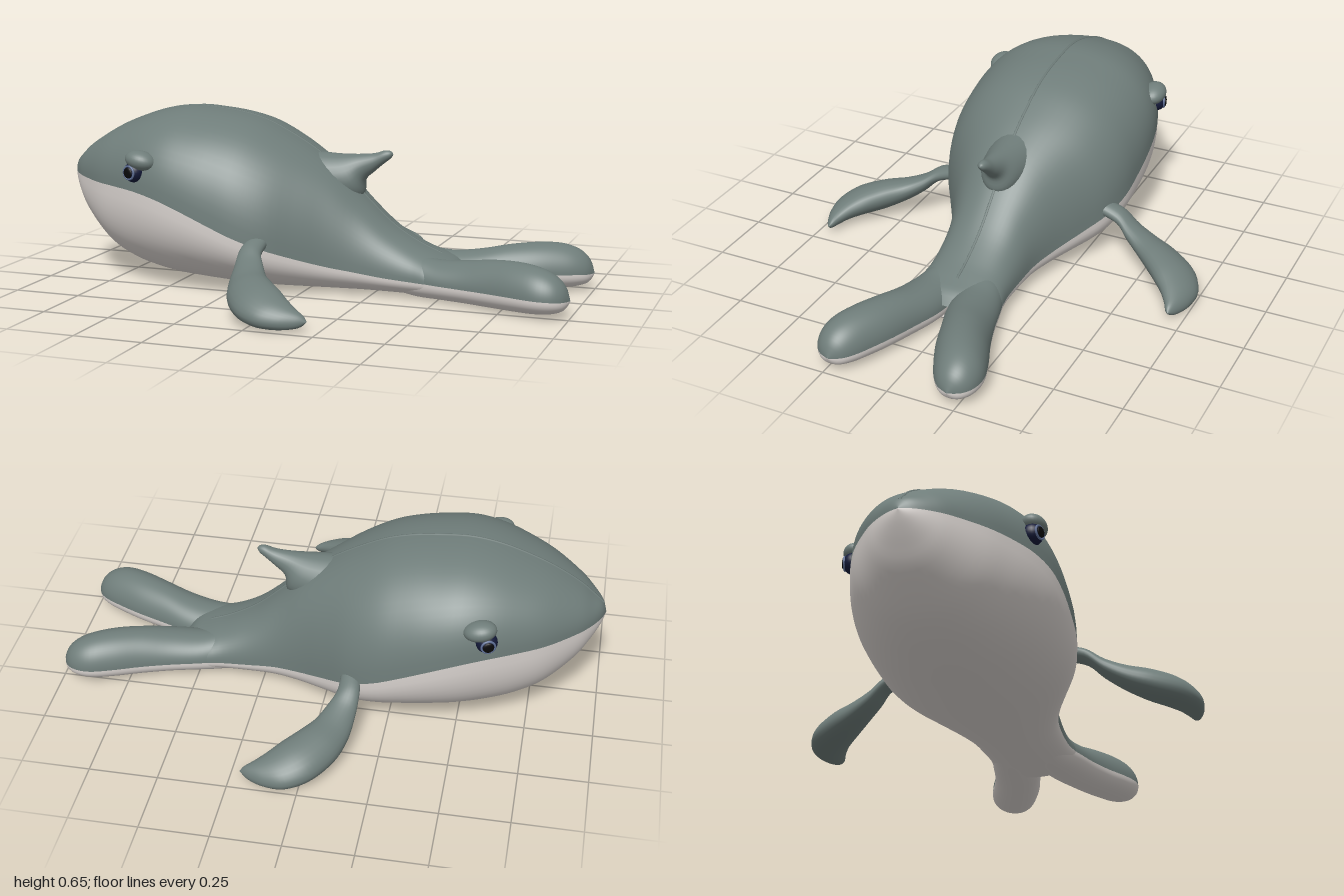
import * as THREE from 'three';

const paint = (name, color, side = THREE.FrontSide) => {
  const m = new THREE.MeshStandardMaterial({ color, side });
  m.name = name;
  return m;
};

// Catmull-Rom resampling of rows of numbers
function resample(rows, steps) {
  const out = [], n = rows.length - 1;
  for (let i = 0; i < n; i++) {
    for (let k = 0; k < steps; k++) {
      const t = k / steps;
      out.push(rows[i].map((b, j) => {
        const c = rows[i + 1][j];
        const a = i > 0 ? rows[i - 1][j] : b, d = i + 2 <= n ? rows[i + 2][j] : c;
        return b + 0.5 * t * (c - a + t * (2 * a - 5 * b + 4 * c - d + t * (3 * (b - c) + d - a)));
      }));
    }
  }
  out.push(rows[n]);
  return out;
}

// Skin a list of rings (arrays of Vector3), turned to face outward
function skin(rings, closed) {
  const n = rings[0].length, cols = closed ? n : n - 1;
  const pos = rings.flat(), index = [], middle = new THREE.Vector3();
  pos.forEach(p => middle.addScaledVector(p, 1 / pos.length));
  for (let i = 0; i < rings.length - 1; i++) {
    for (let j = 0; j < cols; j++) {
      const a = i * n + j, b = i * n + (j + 1) % n, c = a + n, d = b + n;
      index.push(a, b, c, b, d, c);
    }
  }
  let volume = 0;
  const p = new THREE.Vector3(), q = new THREE.Vector3(), r = new THREE.Vector3();
  for (let i = 0; i < index.length; i += 3) {
    p.subVectors(pos[index[i]], middle);
    q.subVectors(pos[index[i + 1]], middle);
    r.subVectors(pos[index[i + 2]], middle);
    volume += p.dot(q.cross(r));
  }
  if (volume < 0) index.reverse();
  const g = new THREE.BufferGeometry().setFromPoints(pos);
  g.setIndex(index);
  g.computeVertexNormals();
  return g;
}

const bulge = (v, n) => Math.sign(v) * Math.pow(Math.abs(v), 2 / n);

// Half shell above (up = 1) or below (up = -1) the side seam
// rows: x, z centre, half width, top y, seam y, bottom y
function halfShell(rows, up, power) {
  const rings = rows.map(([x, zc, w, top, seam, bottom]) => {
    const h = up > 0 ? top - seam : seam - bottom;
    return Array.from({ length: 33 }, (_, k) => {
      const a = Math.PI * k / 32;
      return new THREE.Vector3(x, seam + up * h * bulge(Math.max(0, Math.sin(a)), power),
        zc + w * bulge(Math.cos(a), power));
    });
  });
  return skin(rings, false);
}

// Rounded blade between two edges; rows: edge A xyz, edge B xyz, half thickness
function blade(rows, thickAxis, side) {
  const rings = resample(rows, 5).map(r => {
    const A = new THREE.Vector3(r[0], r[1], r[2] * side), B = new THREE.Vector3(r[3], r[4], r[5] * side);
    const c = A.clone().add(B).multiplyScalar(0.5), half = B.sub(A).multiplyScalar(0.5);
    return Array.from({ length: 24 }, (_, k) => {
      const a = 2 * Math.PI * k / 24;
      return c.clone().addScaledVector(half, Math.cos(a)).addScaledVector(thickAxis, Math.max(0, r[6]) * Math.sin(a));
    });
  });
  return skin(rings, true);
}

export function createModel() {
  const model = new THREE.Group();
  model.name = 'whale';
  const grey = paint('slateGrey', 0x6f7d7a, THREE.DoubleSide);
  const white = paint('bellyWhite', 0xdcd6d2, THREE.DoubleSide);
  const navy = paint('eyeNavy', 0x141a3a);
  const ringBlue = paint('eyeRingBlue', 0x5f7096);
  const black = paint('pupilBlack', 0x08080a);
  const add = (name, geometry, material, parent = model) => {
    const m = new THREE.Mesh(geometry, material);
    m.name = name;
    parent.add(m);
    return m;
  };

  // Body: grey back over white belly (x, z, half width, top, seam, bottom)
  const body = resample([
    [-1, 0, 0, 0.39, 0.388, 0.385],
    [-0.985, 0, 0.045, 0.43, 0.387, 0.345],
    [-0.95, 0, 0.1, 0.463, 0.386, 0.28],
    [-0.9, 0, 0.155, 0.505, 0.384, 0.205],
    [-0.8, 0, 0.237, 0.565, 0.38, 0.11],
    [-0.7, 0, 0.293, 0.608, 0.377, 0.06],
    [-0.6, 0, 0.337, 0.64, 0.37, 0.035],
    [-0.5, 0, 0.366, 0.655, 0.35, 0.02],
    [-0.4, 0, 0.377, 0.65, 0.315, 0.014],
    [-0.3, 0, 0.376, 0.638, 0.272, 0.01],
    [-0.2, 0, 0.367, 0.612, 0.228, 0.008],
    [-0.1, 0, 0.335, 0.565, 0.188, 0.007],
    [0, 0, 0.275, 0.507, 0.15, 0.006],
    [0.1, 0, 0.217, 0.435, 0.117, 0.005],
    [0.2, 0, 0.178, 0.335, 0.095, 0.005],
    [0.3, 0, 0.165, 0.245, 0.08, 0.005],
    [0.4, 0, 0.162, 0.185, 0.072, 0.005],
    [0.48, 0, 0.168, 0.152, 0.07, 0.006],
    [0.54, 0, 0.13, 0.128, 0.07, 0.012],
    [0.575, 0, 0.05, 0.09, 0.07, 0.04],
  ], 4);
  add('back', halfShell(body, 1, 2.25), grey);
  add('belly', halfShell(body, -1, 2.25), white);

  // Raised seam along the spine
  const spine = body.filter((r, i) => i % 4 === 0 && r[0] > -0.99 && r[0] < 0.5)
    .map(r => new THREE.Vector3(r[0], r[3] - 0.002, 0));
  add('spineSeam', new THREE.TubeGeometry(new THREE.CatmullRomCurve3(spine), 80, 0.006, 6), grey);

  // Dorsal fin, swept back
  add('dorsalFin', blade([
    [-0.02, 0.505, 0, 0.05, 0.3, 0, 0.1],
    [0.08, 0.5, 0, 0.17, 0.34, 0, 0.075],
    [0.16, 0.502, 0, 0.185, 0.405, 0, 0.045],
    [0.22, 0.508, 0, 0.22, 0.44, 0, 0.03],
    [0.26, 0.52, 0, 0.255, 0.47, 0, 0.022],
    [0.283, 0.517, 0, 0.28, 0.49, 0, 0.013],
    [0.291, 0.506, 0, 0.291, 0.505, 0, 0],
  ], new THREE.Vector3(0, 0, 1), 1), grey);

  // Paired parts: x, outer z, inner z, top, seam, bottom for each fluke
  const fluke = [
    [0.34, 0.14, 0.02, 0.15, 0.075, 0.02],
    [0.42, 0.158, 0, 0.155, 0.071, 0.006],
    [0.5, 0.18, 0, 0.146, 0.07, 0.005],
    [0.6, 0.206, 0.015, 0.155, 0.07, 0.005],
    [0.7, 0.24, 0.047, 0.172, 0.072, 0.006],
    [0.8, 0.282, 0.08, 0.18, 0.075, 0.009],
    [0.88, 0.306, 0.115, 0.175, 0.075, 0.013],
    [0.94, 0.3, 0.147, 0.155, 0.073, 0.02],
    [0.98, 0.272, 0.182, 0.12, 0.07, 0.035],
    [1, 0.228, 0.226, 0.07, 0.068, 0.066],
  ];
  const flipper = [
    [-0.15, 0.215, 0.3, -0.08, 0.215, 0.3, 0.028],
    [-0.16, 0.19, 0.38, -0.078, 0.185, 0.38, 0.028],
    [-0.156, 0.135, 0.45, -0.05, 0.15, 0.43, 0.036],
    [-0.143, 0.095, 0.53, -0.012, 0.12, 0.49, 0.047],
    [-0.11, 0.073, 0.62, 0.04, 0.103, 0.55, 0.058],
    [-0.045, 0.058, 0.71, 0.09, 0.09, 0.6, 0.056],
    [0.035, 0.043, 0.753, 0.13, 0.075, 0.64, 0.046],
    [0.11, 0.036, 0.75, 0.17, 0.058, 0.67, 0.034],
    [0.175, 0.035, 0.726, 0.2, 0.046, 0.687, 0.02],
    [0.212, 0.04, 0.702, 0.212, 0.04, 0.7, 0],
  ];
  for (const side of [1, -1]) {
    const label = side > 0 ? 'left' : 'right';
    const rows = resample(fluke.map(([x, o, i, t, s, b]) => [x, side * (o + i) / 2, (o - i) / 2, t, s, b]), 4);
    add(label + 'FlukeTop', halfShell(rows, 1, 2), grey);
    add(label + 'FlukeUnderside', halfShell(rows, -1, 2.2), white);
    add(label + 'Flipper', blade(flipper, new THREE.Vector3(0, 1, 0), side), grey);

    // Eye: ball, ring and pupil looking outward, under a heavy lid
    const eye = new THREE.Group();
    eye.name = label + 'Eye';
    eye.position.set(-0.597, 0.443, side * 0.328);
    eye.rotation.y = side > 0 ? -0.3 : Math.PI + 0.3;
    model.add(eye);
    add('eyeball', new THREE.SphereGeometry(0.039, 24, 16), navy, eye);
    add('eyeRing', new THREE.TorusGeometry(0.024, 0.004, 8, 28), ringBlue, eye).position.z = 0.031;
    const pupil = add('pupil', new THREE.SphereGeometry(0.02, 20, 12), black, eye);
    pupil.scale.z = 0.25;
    pupil.position.z = 0.036;
    const lid = add(label + 'Eyelid', new THREE.SphereGeometry(1, 28, 18), grey);
    lid.scale.set(0.06, 0.036, 0.047);
    lid.position.set(-0.572, 0.486, side * 0.326);
    lid.rotation.z = -0.2;
  }
  return model;
}
